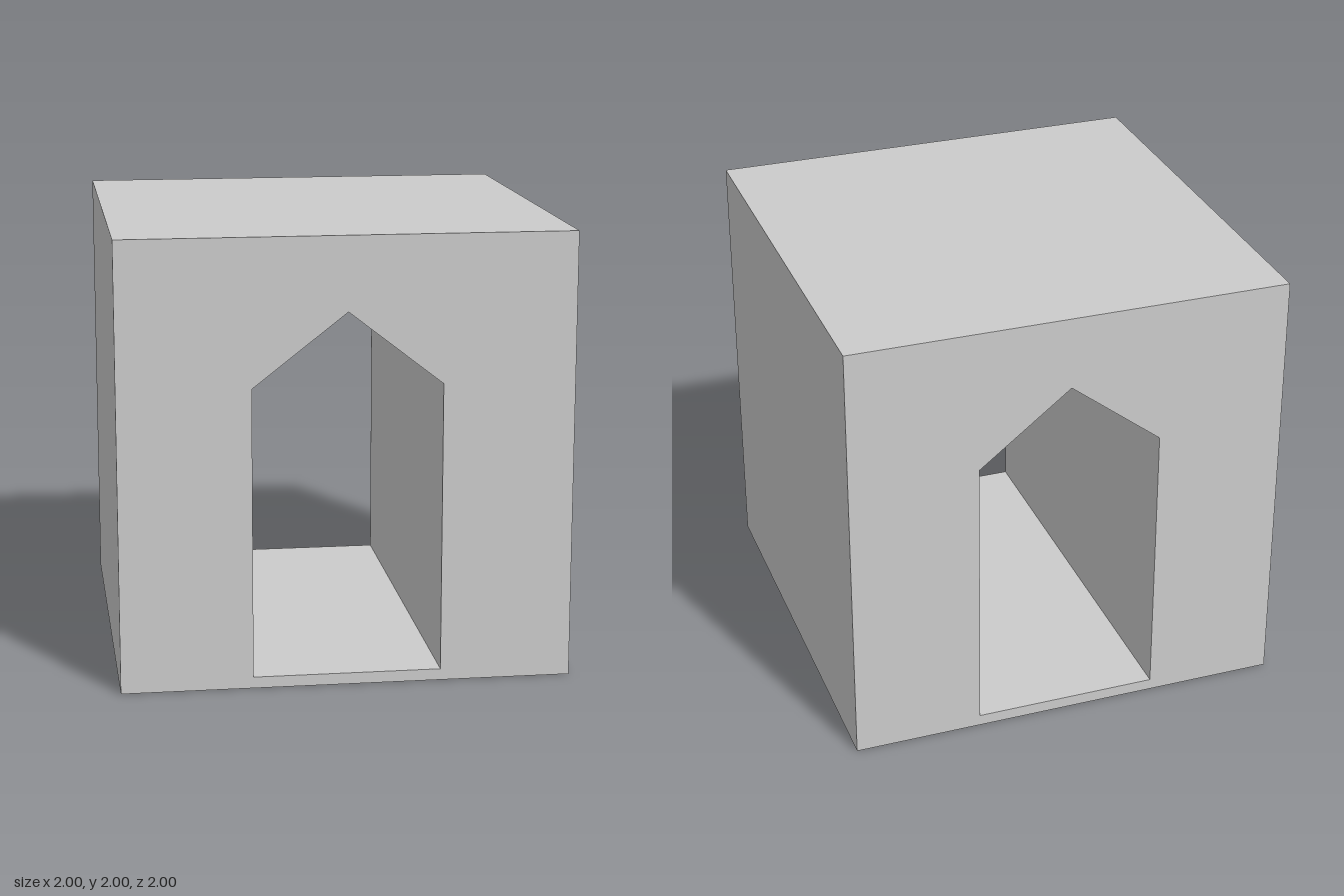
import * as THREE from 'three';

const material = new THREE.MeshStandardMaterial({ color: 0xcccccc, flatShading: true, side: THREE.DoubleSide });

// Passage dimensions
const HALF = 0.417, EAVE = 1.345, APEX = 1.67, SILL = 0.05, WALL = 0.015;

// Pointed-gable outline, grown outwards by an offset
function gable(half, bottom, grow = 0) {
  return [
    [-half, bottom], [half, bottom], [half, EAVE + grow * 0.5],
    [0, APEX + grow * 1.27], [-half, EAVE + grow * 0.5],
  ].map(([x, y]) => new THREE.Vector2(x, y));
}

export function createModel() {
  const group = new THREE.Group();
  const add = (name, geometry, x = 0, y = 0, z = 0) => {
    const mesh = new THREE.Mesh(geometry, material);
    mesh.name = name;
    mesh.position.set(x, y, z);
    group.add(mesh);
    return mesh;
  };

  // Thin front and back walls with the pointed doorway cut out
  const face = new THREE.Shape([[-1, 0], [1, 0], [1, 2], [-1, 2]].map(([x, y]) => new THREE.Vector2(x, y)));
  face.holes.push(new THREE.Path(gable(HALF, SILL)));
  const faceGeometry = new THREE.ShapeGeometry(face);
  add('frontWall', faceGeometry, 0, 0, 1);
  add('backWall', faceGeometry, 0, 0, -1).rotation.y = Math.PI;

  // Thin side walls and flat roof; the underside stays open
  const sheet = new THREE.PlaneGeometry(2, 2);
  add('leftWall', sheet, 1, 1, 0).rotation.y = Math.PI / 2;
  add('rightWall', sheet, -1, 1, 0).rotation.y = -Math.PI / 2;
  add('roof', sheet, 0, 2, 0).rotation.x = -Math.PI / 2;

  // Passage lining: two walls and a gabled ceiling in one inverted-U section
  const [ol, or, oer, oa, oel] = gable(HALF + WALL, 0, WALL);
  const [il, ir, ier, ia, iel] = gable(HALF, 0);
  const lining = new THREE.Shape([ir, or, oer, oa, oel, ol, il, iel, ia, ier]);
  add('passageLining', new THREE.ExtrudeGeometry(lining, { depth: 1.996, bevelEnabled: false }), 0, 0, -0.998);

  // Floor slab between the lining walls
  add('passageFloor', new THREE.BoxGeometry(HALF * 2, 0.03, 1.996), 0, SILL - 0.015, 0);

  return group;
}
